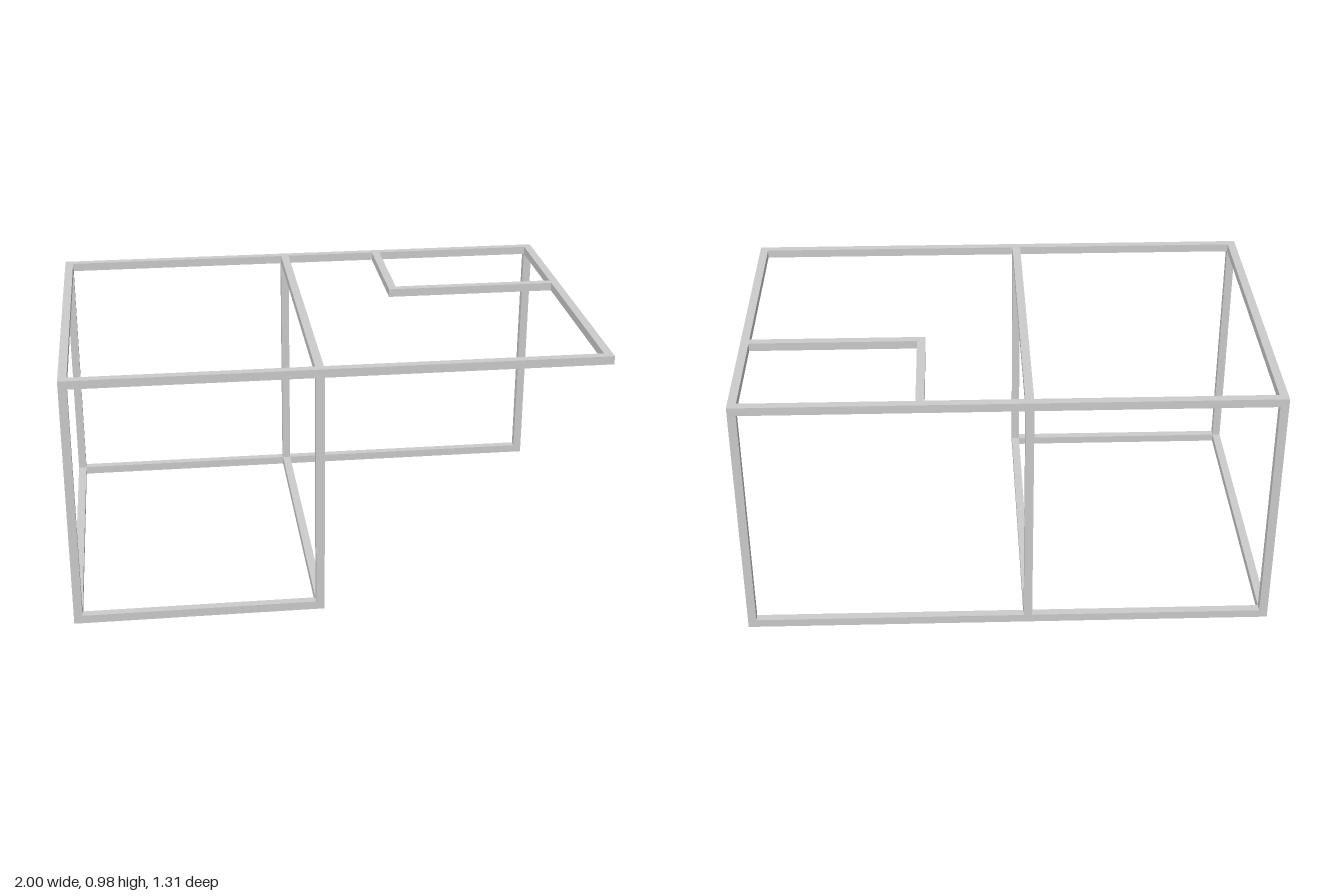
import * as THREE from 'three';

const T = 0.032;            // bar thickness
const X = 1, Z = 0.655, H = 0.981;
const MID = -0.074;         // centre of the dividing frame

export function createModel() {
  const model = new THREE.Group();
  const material = new THREE.MeshStandardMaterial({ color: 0xcccccc, flatShading: true });

  // Square bar filling the box between two corners
  const bar = (name, x0, x1, y0, y1, z0, z1) => {
    const mesh = new THREE.Mesh(new THREE.BoxGeometry(x1 - x0, y1 - y0, z1 - z0), material);
    mesh.position.set((x0 + x1) / 2, (y0 + y1) / 2, (z0 + z1) / 2);
    mesh.name = name;
    model.add(mesh);
  };
  const railX = (name, x0, x1, y, z) => bar(name, x0, x1, y, y + T, z - T / 2, z + T / 2);
  const railZ = (name, x, y, z0, z1) => bar(name, x - T / 2, x + T / 2, y, y + T, z0, z1);
  const post = (name, x, z) => bar(name, x - T / 2, x + T / 2, T, H - T, z - T / 2, z + T / 2);

  const top = H - T, ex = X - T / 2, ez = Z - T / 2, inner = Z - T;

  // Roof frame: full rectangle with a divider
  railX('roofFrontRail', -X, X, top, ez);
  railX('roofBackRail', -X, X, top, -ez);
  for (const [name, x] of [['roofRightRail', -ex], ['roofDivider', MID], ['roofLeftRail', ex]])
    railZ(name, x, top, -inner, inner);

  // Small rectangular opening in the back corner of the roof
  railX('openingFrontRail', 0.301, X - T, top, -0.167);
  railZ('openingSideRail', 0.317, top, -inner, -0.183);

  // Floor frame: closed on one bay, back rail only on the other
  railX('floorFrontRail', -X, MID + T / 2, 0, ez);
  railX('floorBackRail', -X, X, 0, -ez);
  railZ('floorRightRail', -ex, 0, -inner, inner);
  railZ('floorDivider', MID, 0, -inner, inner);

  // Posts: the front corner of the open bay has none
  for (const x of [-ex, MID]) {
    post('frontPost', x, ez);
    post('backPost', x, -ez);
  }
  post('backLeftPost', ex, -ez);

  return model;
}
